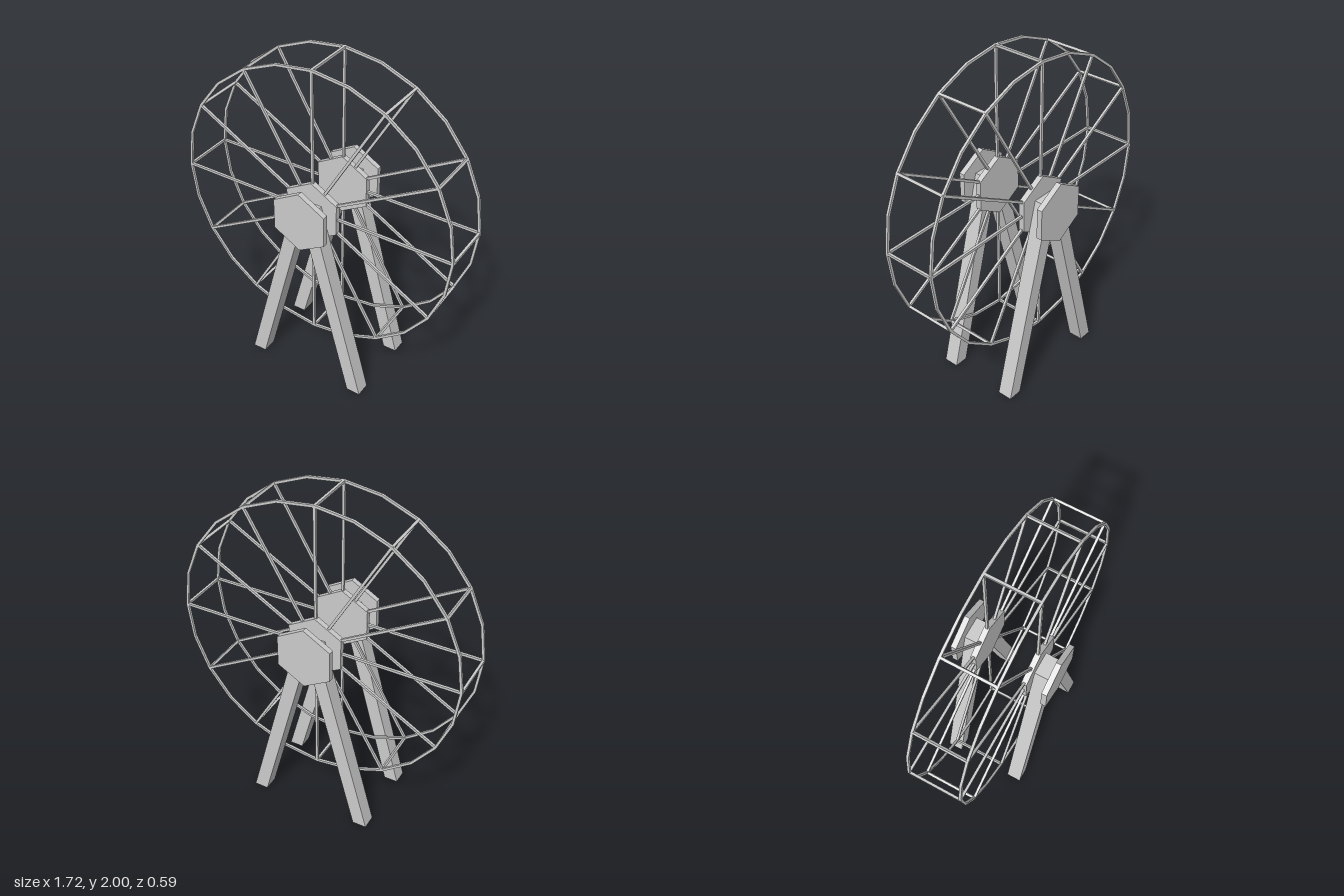
import * as THREE from 'three';

export function createModel() {
  const model = new THREE.Group();
  model.name = 'ferrisWheelFrame';
  const material = new THREE.MeshStandardMaterial({ color: 0xcccccc, flatShading: true });
  const HUB_Y = 1.14, RADIUS = 0.86, BAR = 0.015, WHEEL_Z = 0.155, SPOKES = 12;

  const add = (name, geometry, parent) => {
    const mesh = new THREE.Mesh(geometry, material);
    mesh.name = name;
    parent.add(mesh);
    return mesh;
  };

  // Wheel, turning about z
  const wheel = new THREE.Group();
  wheel.name = 'wheel';
  wheel.position.y = HUB_Y;
  model.add(wheel);

  // Rim: square bar swept round 24 straight segments
  const h = BAR / 2;
  const rimProfile = [[RADIUS - BAR, -h], [RADIUS, -h], [RADIUS, h], [RADIUS - BAR, h], [RADIUS - BAR, -h]]
    .map(([r, y]) => new THREE.Vector2(r, y));
  const rimGeometry = new THREE.LatheGeometry(rimProfile, SPOKES * 2).rotateX(-Math.PI / 2);

  // Spokes run from inside the hub plate to the rim
  const spokeStart = 0.08, spokeEnd = RADIUS - h;
  const spokeGeometry = new THREE.BoxGeometry(BAR, spokeEnd - spokeStart, BAR)
    .translate(0, (spokeStart + spokeEnd) / 2, 0);
  const crossbarGeometry = new THREE.BoxGeometry(BAR, BAR, WHEEL_Z * 2).translate(0, RADIUS - h, 0);

  for (const side of [1, -1]) add('rim', rimGeometry, wheel).position.z = side * WHEEL_Z;
  for (let i = 0; i < SPOKES; i++) {
    const angle = (i / SPOKES) * Math.PI * 2;
    for (const side of [1, -1]) {
      const spoke = add('spoke', spokeGeometry, wheel);
      spoke.position.z = side * WHEEL_Z;
      spoke.rotation.z = angle;
    }
    add('crossbar', crossbarGeometry, wheel).rotation.z = angle;
  }

  // Hexagonal plates on both faces of each support
  const plateGeometry = new THREE.CylinderGeometry(0.186, 0.186, 0.033, 6).rotateX(-Math.PI / 2);

  // Leaning leg with level ends
  const LEG_DEPTH = 0.09;
  const legGeometry = (s) => {
    const outline = [[0.30, 0], [0.385, 0], [0.066, 1.2], [-0.019, 1.2]];
    const shape = new THREE.Shape(outline.map(([x, y]) => new THREE.Vector2(s * x, y)));
    return new THREE.ExtrudeGeometry(shape, { depth: LEG_DEPTH, bevelEnabled: false })
      .translate(0, 0, -LEG_DEPTH / 2);
  };
  const leftLeg = legGeometry(1), rightLeg = legGeometry(-1);

  for (const side of [1, -1]) {
    const support = new THREE.Group();
    support.name = side > 0 ? 'frontSupport' : 'backSupport';
    model.add(support);
    add('leftLeg', leftLeg, support).position.z = side * 0.217;
    add('rightLeg', rightLeg, support).position.z = side * 0.217;
    add('innerHubPlate', plateGeometry, support).position.set(0, HUB_Y, side * 0.156);
    add('outerHubPlate', plateGeometry, support).position.set(0, HUB_Y, side * 0.279);
  }
  return model;
}
